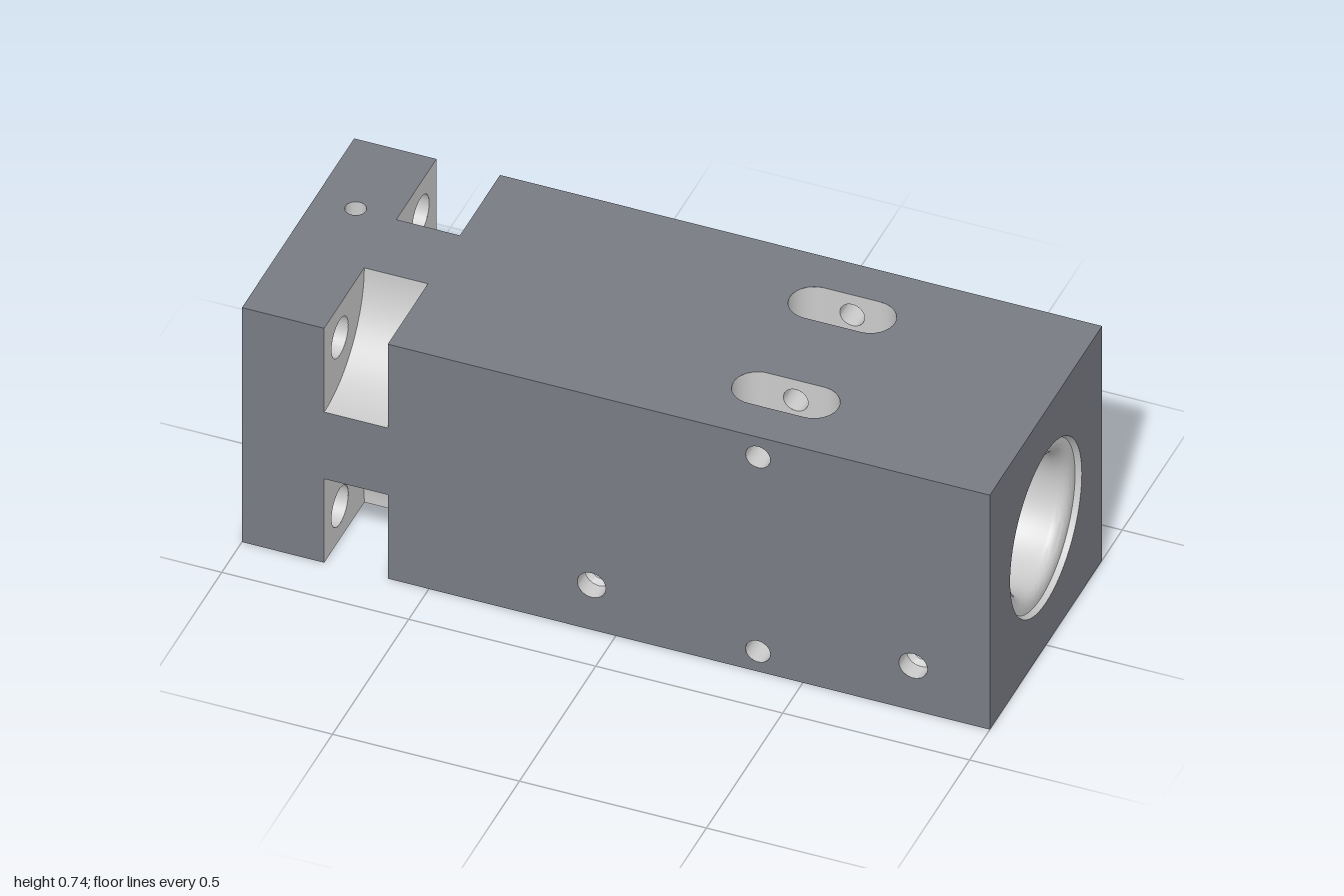
import * as THREE from 'three';
import { toCreasedNormals } from 'three/addons/utils/BufferGeometryUtils.js';

const H = 0.368;                       // half of the square section
const R = 0.25;                        // main bore radius
const N0 = -0.78, N1 = -0.61, NE = 0.105, NR = H - NE; // corner notches
const SX = 0.38, SZ = 0.185, SR = 0.065, SL = 0.075;   // clamp slots
const PIN = { y: 0.305, r: 0.033 };    // cross pin holes
const BOLT = 0.265, BOLT_R = 0.055;    // flange bolts
const { PI, sin, cos, sqrt, asin, abs, min, max } = Math;

export function createModel() {
  const group = new THREE.Group();
  const body = new THREE.MeshStandardMaterial({ color: 0x797b84, side: THREE.DoubleSide });
  const cut = new THREE.MeshStandardMaterial({ color: 0xcccccc, side: THREE.DoubleSide });

  const add = (name, geo, mat = cut) => {
    const mesh = new THREE.Mesh(geo, mat);
    mesh.name = name;
    group.add(mesh);
    return mesh;
  };
  const circle = (x, y, r) => new THREE.Path().absarc(x, y, r, 0, PI * 2, true);
  const polygon = pts => new THREE.Shape(pts.map(p => new THREE.Vector2(...p)));
  const flat = (shape, holes = []) => {
    shape.holes.push(...holes);
    return new THREE.ShapeGeometry(shape, 32);
  };
  // Curved sheet from a rule of u and v in 0..1
  const sheet = (rule, nu, nv) => {
    const pos = [], idx = [];
    for (let i = 0; i <= nu; i++) for (let j = 0; j <= nv; j++) {
      pos.push(...rule(i / nu, j / nv));
      if (i < nu && j < nv) {
        const a = i * (nv + 1) + j, b = a + nv + 1;
        idx.push(a, b, a + 1, b, b + 1, a + 1);
      }
    }
    const g = new THREE.BufferGeometry();
    g.setAttribute('position', new THREE.Float32BufferAttribute(pos, 3));
    g.setIndex(idx);
    g.computeVertexNormals();
    return g;
  };
  // Turned surface: profile of [radius, distance along dir]
  const turned = (name, at, dir, profile, seg = 32) => {
    const lathe = new THREE.LatheGeometry(profile.map(p => new THREE.Vector2(...p)), seg);
    const mesh = add(name, toCreasedNormals(lathe, 0.5));
    mesh.position.set(...at);
    mesh.quaternion.setFromUnitVectors(new THREE.Vector3(0, 1, 0), new THREE.Vector3(...dir));
  };

  // Long sides: a rectangle notched twice near one end
  const side = () => polygon([[-1, -H], [N0, -H], [N0, -NE], [N1, -NE], [N1, -H], [1, -H],
    [1, H], [N1, H], [N1, NE], [N0, NE], [N0, H], [-1, H]]);
  const slotPath = z => new THREE.Path()
    .absarc(SX + SL, z, SR, -PI / 2, PI / 2, false)
    .absarc(SX - SL, z, SR, PI / 2, PI * 1.5, false).closePath();
  const PORTS = [-0.065, 0.795], PORT_Y = -0.228, PORT_R = 0.038;
  for (const s of [1, -1]) {
    const sideHoles = [circle(SX, PIN.y, PIN.r), circle(SX, -PIN.y, PIN.r),
      ...PORTS.map(x => circle(x, s * PORT_Y, PORT_R))];
    const front = flat(side(), sideHoles).translate(0, 0, H);
    add(s > 0 ? 'frontFace' : 'backFace', s > 0 ? front : front.rotateX(PI), body);

    const topHoles = [slotPath(SZ), slotPath(-SZ)];
    if (s > 0) topHoles.push(circle(-0.89, 0.108, 0.027));
    add(s > 0 ? 'topFace' : 'bottomFace',
      flat(side(), topHoles).translate(0, 0, H).rotateX(-s * PI / 2), body);
  }

  // Square ends
  const square = () => polygon([[-H, -H], [H, -H], [H, H], [-H, H]]);
  add('boreEndFace', flat(square(), [circle(0, 0, 0.235)]).translate(0, 0, 1).rotateY(PI / 2), body);
  const flangeHoles = [circle(0, 0, R), circle(-0.103, 0.286, 0.035), circle(-0.32, 0, 0.024)];
  for (const y of [1, -1]) for (const z of [1, -1])
    flangeHoles.push(circle(z * BOLT, y * BOLT, BOLT_R));
  add('flangeEndFace', flat(square(), flangeHoles).translate(0, 0, 1).rotateY(-PI / 2), body);

  // Four concave corner notches with a bolt hole through the flange
  for (const ty of [1, -1]) for (const tz of [1, -1]) {
    add('notchFloor', sheet((u, v) => [N0 + (N1 - N0) * v,
      ty * (H - NR * sin(u * PI / 2)), tz * (H - NR * cos(u * PI / 2))], 24, 1));
    for (const x of [N0, N1]) {
      const pts = [[tz * H, ty * H]];
      for (let i = 0; i <= 24; i++) {
        const a = i / 24 * PI / 2;
        pts.push([tz * (H - NR * cos(a)), ty * (H - NR * sin(a))]);
      }
      const holes = x === N0 ? [circle(tz * BOLT, ty * BOLT, BOLT_R)] : [];
      const wall = flat(polygon(pts), holes);
      // shape x becomes z, facing into the notch
      if (x === N0) wall.scale(-1, 1, 1).rotateY(PI / 2);
      else wall.rotateY(-PI / 2);
      if (x === N0) { // restore winding after the mirror
        const ix = wall.index.array;
        for (let i = 0; i < ix.length; i += 3) [ix[i], ix[i + 1]] = [ix[i + 1], ix[i]];
        wall.computeVertexNormals();
      }
      add('notchWall', wall.translate(x, 0, 0));
    }
    turned('flangeBoltHole', [-1, ty * BOLT, tz * BOLT], [1, 0, 0],
      [[BOLT_R, 0], [BOLT_R, 1 + N0]]);
  }

  // Bore, with a rounded seal lip at the far end
  turned('mainBore', [0, 0, 0], [1, 0, 0], [[R, -1], [R, SX - SL - SR]], 80);
  const lip = [];
  for (let i = 0; i <= 8; i++) {
    const a = i / 8 * PI / 2;
    lip.push([0.18 + 0.035 * (1 - cos(a)), 0.95 + 0.035 * sin(a)]);
  }
  turned('sealBore', [0, 0, 0], [1, 0, 0], [[R, SX + SL + SR], [R, 0.64], [0.146, 0.68],
    [0.146, 0.78], [0.18, 0.86], ...lip, [0.228, 0.985], [0.235, 1]], 80);

  // Bore wall left standing between the slots
  const halfWidth = x => sqrt(max(0, SR * SR - max(0, abs(x - SX) - SL) ** 2));
  const strip = range => sheet((u, v) => {
    const x = SX - (SL + SR) * cos(PI * u);
    const [a, b] = range(halfWidth(x));
    const t = a + (b - a) * v;
    return [x, R * cos(t), R * sin(t)];
  }, 32, 20);
  for (const k of [0, PI]) {
    add('boreWallBetweenSlots', strip(w => {
      const a = asin((SZ - w) / R);
      return [k - a, k + a];
    }));
    add('boreSideWall', strip(w => {
      const a = asin(min(1, (SZ + w) / R));
      return [k + a, k + PI - a];
    }));
  }

  // Slot walls, reaching down to the bore
  const depthAt = z => sqrt(max(0, R * R - z * z));
  for (const t of [1, -1]) for (const s of [1, -1]) {
    for (const e of [1, -1]) add('slotEnd', sheet((u, v) => {
      const a = (u - 0.5) * PI, z = SZ + SR * sin(a);
      return [SX + e * (SL + SR * cos(a)), t * (H + (depthAt(z) - H) * v), s * z];
    }, 20, 1));
    for (const z of [SZ - SR, SZ + SR]) {
      const y0 = depthAt(z);
      const wall = polygon([[SX - SL, t * y0], [SX + SL, t * y0], [SX + SL, t * H], [SX - SL, t * H]]);
      add('slotSide', flat(wall, [circle(SX, t * PIN.y, PIN.r)]).translate(0, 0, s * z));
    }
  }

  // Cross pin holes, broken by the slots
  for (const y of [PIN.y, -PIN.y])
    for (const [a, b] of [[-H, -SZ - SR], [-SZ + SR, SZ - SR], [SZ + SR, H]])
      turned('crossPinHole', [SX, y, 0], [0, 0, 1], [[PIN.r, a], [PIN.r, b]]);

  // Stepped blind ports on front and back
  for (const s of [1, -1]) for (const x of PORTS)
    turned('sidePort', [x, PORT_Y, s * H], [0, 0, -s],
      [[PORT_R, 0], [PORT_R, 0.05], [0.023, 0.06], [0.023, 0.13], [0, 0.14]]);

  // Small blind holes in the flange
  turned('flangePort', [-1, 0.286, -0.103], [1, 0, 0], [[0.035, 0], [0.035, 0.13], [0, 0.15]]);
  turned('flangeDowelHole', [-1, 0, -0.32], [1, 0, 0], [[0.024, 0], [0.024, 0.1], [0, 0.11]]);
  turned('topPort', [-0.89, H, -0.108], [0, -1, 0], [[0.027, 0], [0.027, 0.06], [0, 0.07]]);

  for (const part of group.children) part.position.y += H;
  return group;
}
